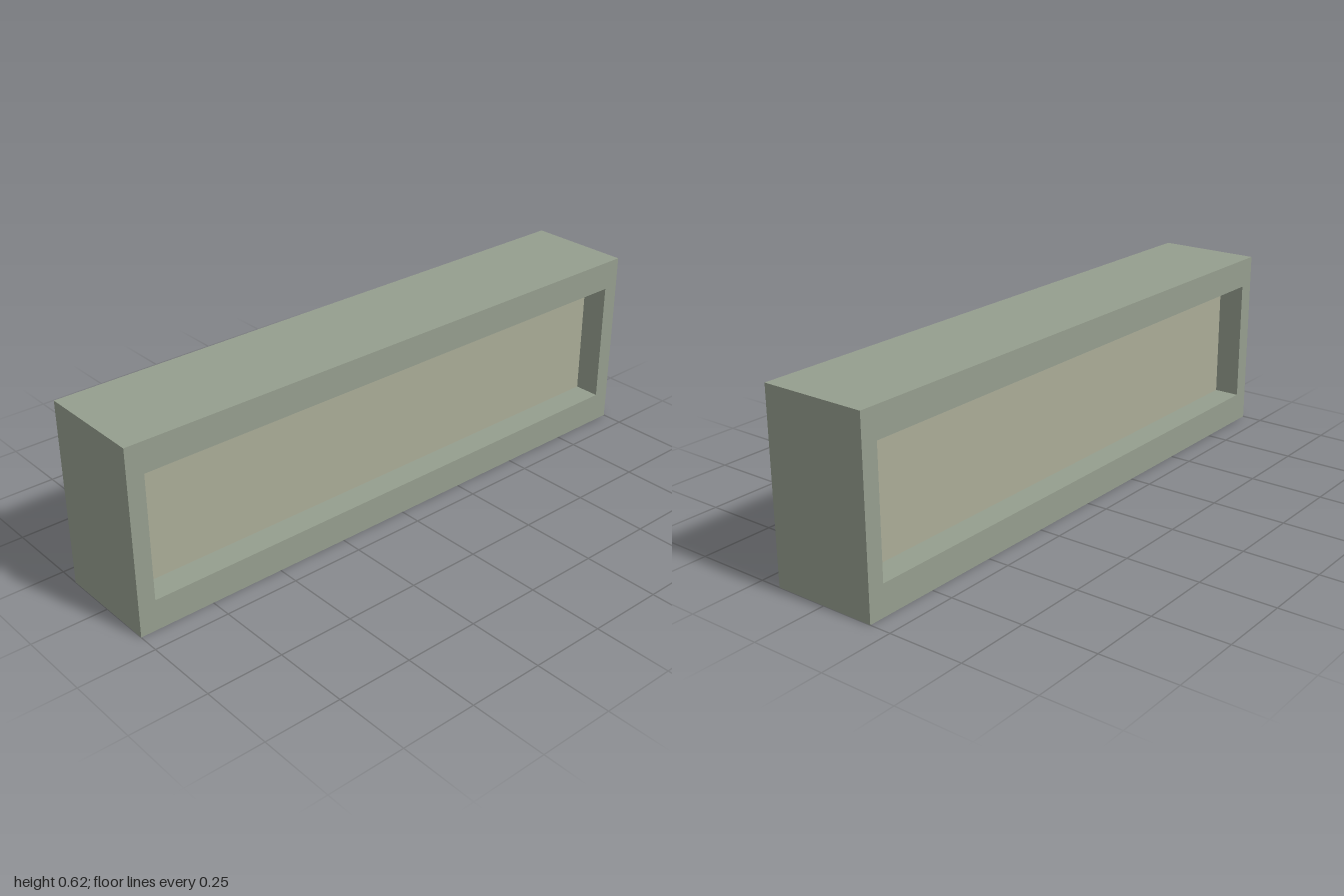
import * as THREE from 'three';

const WIDTH = 0.356, HEIGHT = 0.615, LENGTH = 2;
const OPEN_BOTTOM = 0.102, OPEN_TOP = 0.516, OPEN_HALF = 0.944;

function rectangle(path, halfWidth, bottom, top) {
  path.moveTo(-halfWidth, bottom);
  path.lineTo(halfWidth, bottom);
  path.lineTo(halfWidth, top);
  path.lineTo(-halfWidth, top);
  path.closePath();
  return path;
}

export function createModel() {
  const group = new THREE.Group();
  group.name = 'recessedBlock';

  // Frame: long block with a rectangular opening through both long sides
  const outline = rectangle(new THREE.Shape(), LENGTH / 2, 0, HEIGHT);
  outline.holes.push(rectangle(new THREE.Path(), OPEN_HALF, OPEN_BOTTOM, OPEN_TOP));
  const frameGeometry = new THREE.ExtrudeGeometry(outline, { depth: WIDTH, bevelEnabled: false });
  frameGeometry.translate(0, 0, -WIDTH / 2).rotateY(Math.PI / 2);
  const frame = new THREE.Mesh(frameGeometry, new THREE.MeshStandardMaterial({ color: 0x959e8e }));
  frame.name = 'frame';
  group.add(frame);

  // Recessed panel: fills the middle of the opening, set back on each side
  const panel = new THREE.Mesh(
    new THREE.BoxGeometry(WIDTH / 2, OPEN_TOP - OPEN_BOTTOM, OPEN_HALF * 2),
    new THREE.MeshStandardMaterial({ color: 0xaaac97 })
  );
  panel.name = 'recessedPanel';
  panel.position.y = (OPEN_BOTTOM + OPEN_TOP) / 2;
  group.add(panel);

  return group;
}
